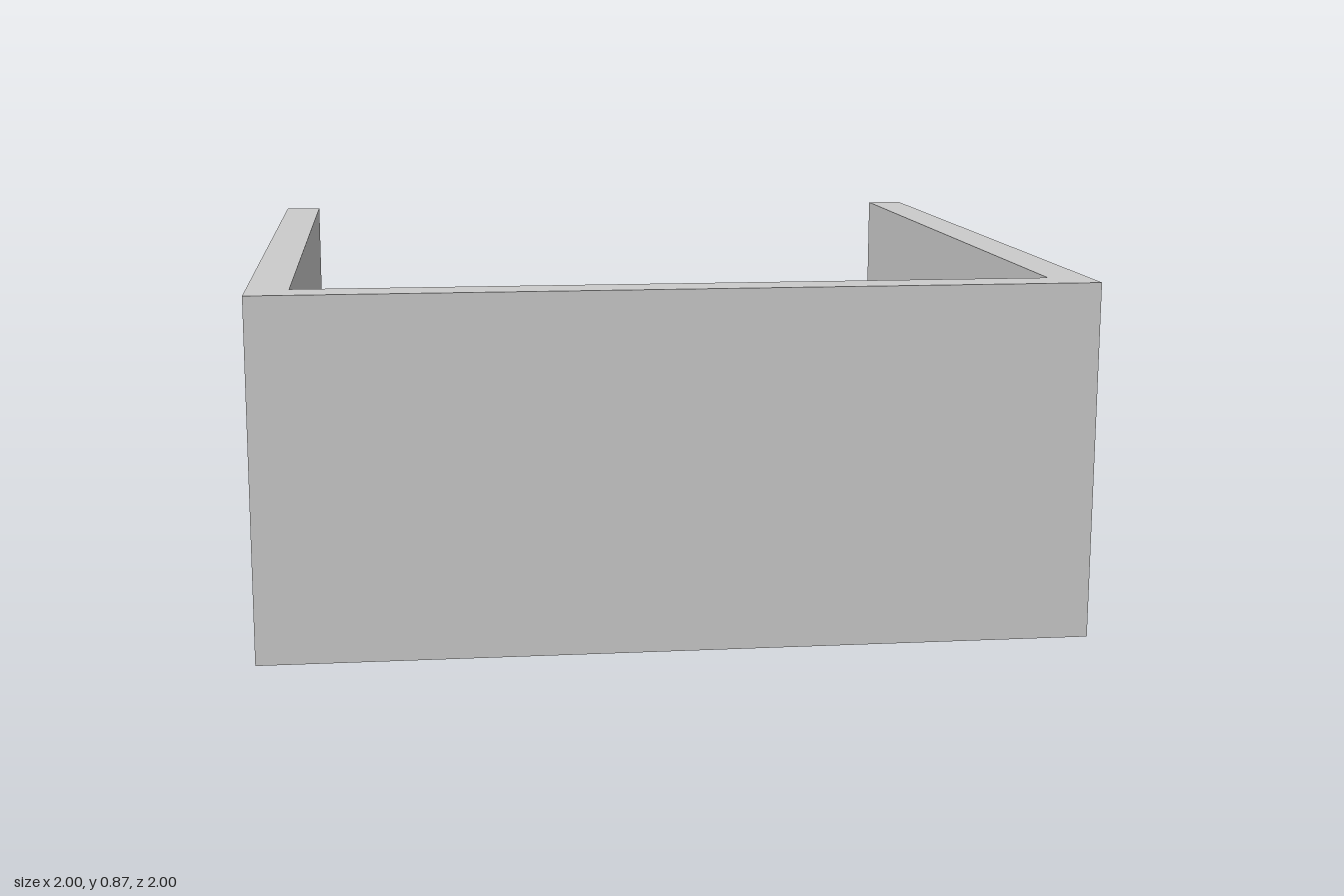
import * as THREE from 'three';

const HEIGHT = 0.87, WALL = 0.1, FLOOR = 0.07, BEVEL = 0.115;

// Wall cross-section as [inset from the outer edge, height], from outside to inside
const OUTER_FOOT = [0, 0], OUTER_RIM = [0, HEIGHT], INNER_RIM = [WALL, HEIGHT];
const BEVEL_TOP = [WALL, FLOOR + BEVEL], BEVEL_FOOT = [WALL + BEVEL, FLOOR];

// Path of the three walls, open at the back: [side, is front corner]
const STATIONS = [[-1, false], [-1, true], [1, true], [1, false]];

// Profile point placed at each station, with mitred front corners
const ring = ([inset, y]) => STATIONS.map(([side, front]) =>
  [side * (1 - inset), y, front ? 1 - inset : -1]);

// Flat-shaded mesh from quads with counter-clockwise corners
function quadMesh(name, quads, material) {
  const positions = quads.flatMap(([a, b, c, d]) => [a, b, c, a, c, d].flat());
  const geometry = new THREE.BufferGeometry();
  geometry.setAttribute('position', new THREE.Float32BufferAttribute(positions, 3));
  geometry.computeVertexNormals();
  const mesh = new THREE.Mesh(geometry, material);
  mesh.name = name;
  return mesh;
}

// Faces swept along the walls between two profile points
function strip(p, q) {
  const a = ring(p), b = ring(q);
  return [0, 1, 2].map(k => [a[k], a[k + 1], b[k + 1], b[k]]);
}

export function createModel() {
  const grey = new THREE.MeshStandardMaterial({ color: 0xcccccc, flatShading: true });
  const orange = new THREE.MeshStandardMaterial({ color: 0xff7f1f, flatShading: true });
  const group = new THREE.Group();
  group.name = 'openTray';

  // Outer faces, rim and inner faces of the three walls
  group.add(quadMesh('walls', [
    ...strip(OUTER_FOOT, OUTER_RIM),
    ...strip(OUTER_RIM, INNER_RIM),
    ...strip(INNER_RIM, BEVEL_TOP),
  ], grey));

  // Sloping band between walls and floor
  group.add(quadMesh('bevelBand', strip(BEVEL_TOP, BEVEL_FOOT), orange));

  // Floor top and underside
  group.add(quadMesh('floor', [ring(BEVEL_FOOT), ring(OUTER_FOOT).reverse()], grey));

  // U-shaped cut face at the open back
  const half = [OUTER_FOOT, OUTER_RIM, INNER_RIM, BEVEL_TOP, BEVEL_FOOT];
  const outline = [
    ...half.map(([i, y]) => new THREE.Vector2(i - 1, y)),
    ...half.map(([i, y]) => new THREE.Vector2(1 - i, y)).reverse(),
  ];
  const backEdge = new THREE.Mesh(new THREE.ShapeGeometry(new THREE.Shape(outline)), grey);
  backEdge.name = 'backEdge';
  backEdge.rotation.y = Math.PI;
  backEdge.position.z = -1;
  group.add(backEdge);

  return group;
}
